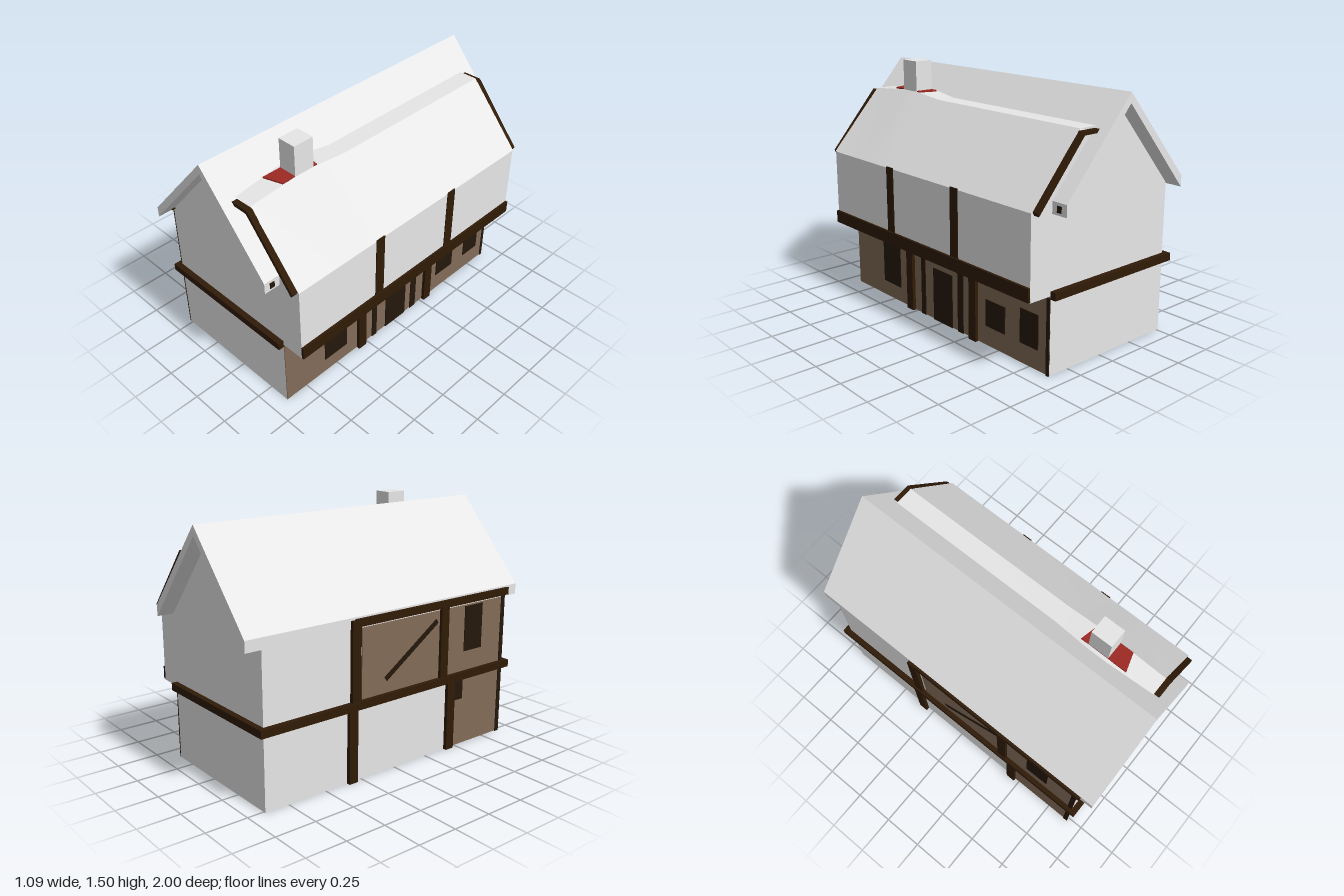
import * as THREE from 'three';
import { mergeVertices } from 'three/addons/utils/BufferGeometryUtils.js';

const mat = (name, color) => {
  const m = new THREE.MeshStandardMaterial({ color });
  m.name = name;
  return m;
};

export function createModel() {
  const house = new THREE.Group();
  house.name = 'timberHouse';
  const plaster = mat('paleGrey', 0xe7e7e7);
  const timber = mat('darkTimber', 0x301b07);
  const infill = mat('brownInfill', 0x826c58);
  const opening = mat('darkOpening', 0x24180c);
  const tile = mat('redTile', 0x9c2a22);

  const add = (name, geo, material) => {
    const mesh = new THREE.Mesh(geo, material);
    mesh.name = name;
    house.add(mesh);
    return mesh;
  };
  // Box given by its extents on each axis
  const box = (name, material, [x0, x1], [y0, y1], [z0, z1]) => {
    const mesh = add(name, new THREE.BoxGeometry(x1 - x0, y1 - y0, z1 - z0), material);
    mesh.position.set((x0 + x1) / 2, (y0 + y1) / 2, (z0 + z1) / 2);
    return mesh;
  };
  // Outline extruded by a depth
  const extrude = (pts, depth) => new THREE.ExtrudeGeometry(
    new THREE.Shape(pts.map(p => new THREE.Vector2(...p))), { depth, bevelEnabled: false });
  // Front outline pushed from z0 to z1
  const prism = (name, material, pts, z0, z1) =>
    add(name, extrude(pts, z1 - z0).translate(0, 0, z0), material);

  // Walls, with the jettied upper floor on the right
  prism('walls', plaster, [
    [-0.515, 0.05], [0.385, 0.05], [0.385, 0.45], [0.53, 0.45], [0.53, 0.92],
    [0.2, 1.29], [0.09, 1.27], [-0.065, 1.41], [-0.515, 0.92],
  ], -0.9, 0.9);
  // Foot of the walls, dark underneath
  box('wallBase', [plaster, plaster, plaster, timber, plaster, plaster],
    [-0.515, 0.385], [0, 0.05], [-0.9, 0.9]);

  // Main gabled roof
  prism('mainRoof', plaster, [
    [-0.52, 0.89], [-0.065, 1.407], [0.385, 0.89], [0.385, 0.957],
    [-0.065, 1.465], [-0.52, 0.955],
  ], -1, 1);

  // Side roof: a flat top strip and a slope, rising a little around the chimney
  const sections = [[0.902, 1.295], [0.6, 1.32], [0.47, 1.32], [0.25, 1.297], [-0.902, 1.297]];
  for (const j of [0, 1]) {
    const pos = [];
    for (let i = 0; i < sections.length - 1; i++) {
      const rows = [sections[i], sections[i + 1]].map(([z, y]) =>
        [[0, y, z], [0.2, y, z], [0.532, 0.924, z]]);
      const [a, b, c, d] = [rows[0][j], rows[0][j + 1], rows[1][j + 1], rows[1][j]];
      pos.push(...a, ...b, ...c, ...a, ...c, ...d);
    }
    const strip = new THREE.BufferGeometry();
    strip.setAttribute('position', new THREE.Float32BufferAttribute(pos, 3));
    const smooth = mergeVertices(strip);
    smooth.computeVertexNormals();
    add(j ? 'sideRoofSlope' : 'sideRoofTop', smooth, plaster);
  }

  // Chimney on its red tile patch
  box('chimney', plaster, [0.085, 0.2], [1.2, 1.505], [0.47, 0.6]);
  const patch = extrude([[0.085, 0.42], [0.198, 0.445], [0.198, 0.685], [0.085, 0.72]], 0.009);
  add('redTilePatch', patch.rotateX(Math.PI / 2).translate(0, 1.325, 0), tile);

  // Bent barge boards and floor beams on both gables
  const barge = [[0.09, 1.286], [0.21, 1.286], [0.52, 0.925], [0.51, 0.905], [0.2, 1.266], [0.105, 1.266]];
  for (const [z0, z1] of [[0.9, 0.935], [-0.935, -0.9]]) {
    prism('bargeBoard', timber, barge, z0, z1);
    box('gableBeam', timber, [-0.548, 0.385], [0.432, 0.477], [z0, z1]);
  }
  // Small dark marks on the eave ends
  for (const z of [0.95, -0.95]) {
    box('eaveMark', opening, [0.384, 0.389], [0.905, 0.94], [z - 0.015, z + 0.015]);
  }

  // Right side framing
  box('jettyBeam', timber, [0.528, 0.545], [0.455, 0.532], [-0.9, 0.9]);
  for (const z of [0.3, -0.3]) {
    box('upperPost', timber, [0.5, 0.535], [0.5, 0.928], [z - 0.032, z + 0.032]);
    box('lowerPost', timber, [0.36, 0.41], [0, 0.45], [z - 0.03, z + 0.03]);
  }

  // Left side framing
  box('leftFloorBeam', timber, [-0.548, -0.5], [0.432, 0.477], [-0.92, 0.92]);
  box('eaveBeam', timber, [-0.535, -0.5], [0.9, 0.945], [-0.3, 0.92]);
  for (const z of [-0.3, 0.37]) box('leftUpperPost', timber, [-0.538, -0.5], [0.47, 0.94], [z - 0.03, z + 0.03]);
  for (const z of [-0.32, 0.44]) box('leftLowerPost', timber, [-0.538, -0.5], [0, 0.44], [z - 0.03, z + 0.03]);

  // Right lower infill, with its openings and studs
  box('rightInfill', infill, [0.382, 0.389], [0.003, 0.449], [-0.9, 0.9]);
  [
    [0.42, 0.6, 0.1, 0.4], [0.16, 0.2, 0, 0.44], [-0.1, 0.08, 0, 0.33], [-0.2, -0.15, 0, 0.44],
    [-0.56, -0.4, 0.12, 0.28], [-0.82, -0.68, 0.12, 0.32], [-0.9, -0.88, 0, 0.44],
  ].forEach(([z0, z1, y0, y1]) => box('rightOpening', opening, [0.385, 0.393], [y0, y1], [z0, z1]));

  // Left infill, with its openings, studs and brace
  box('leftUpperInfill', infill, [-0.52, -0.514], [0.477, 0.92], [-0.25, 0.9]);
  box('leftLowerInfill', infill, [-0.52, -0.514], [0.003, 0.432], [0.45, 0.9]);
  [
    [0.55, 0.7, 0.6, 0.88], [0.87, 0.9, 0.477, 0.92], [0.87, 0.9, 0, 0.432], [0.45, 0.55, 0.3, 0.432],
  ].forEach(([z0, z1, y0, y1]) => box('leftOpening', opening, [-0.524, -0.517], [y0, y1], [z0, z1]));
  const brace = box('leftBrace', opening, [-0.524, -0.517], [0.68, 0.71], [-0.12, 0.36]);
  brace.rotation.x = -0.6;

  return house;
}
